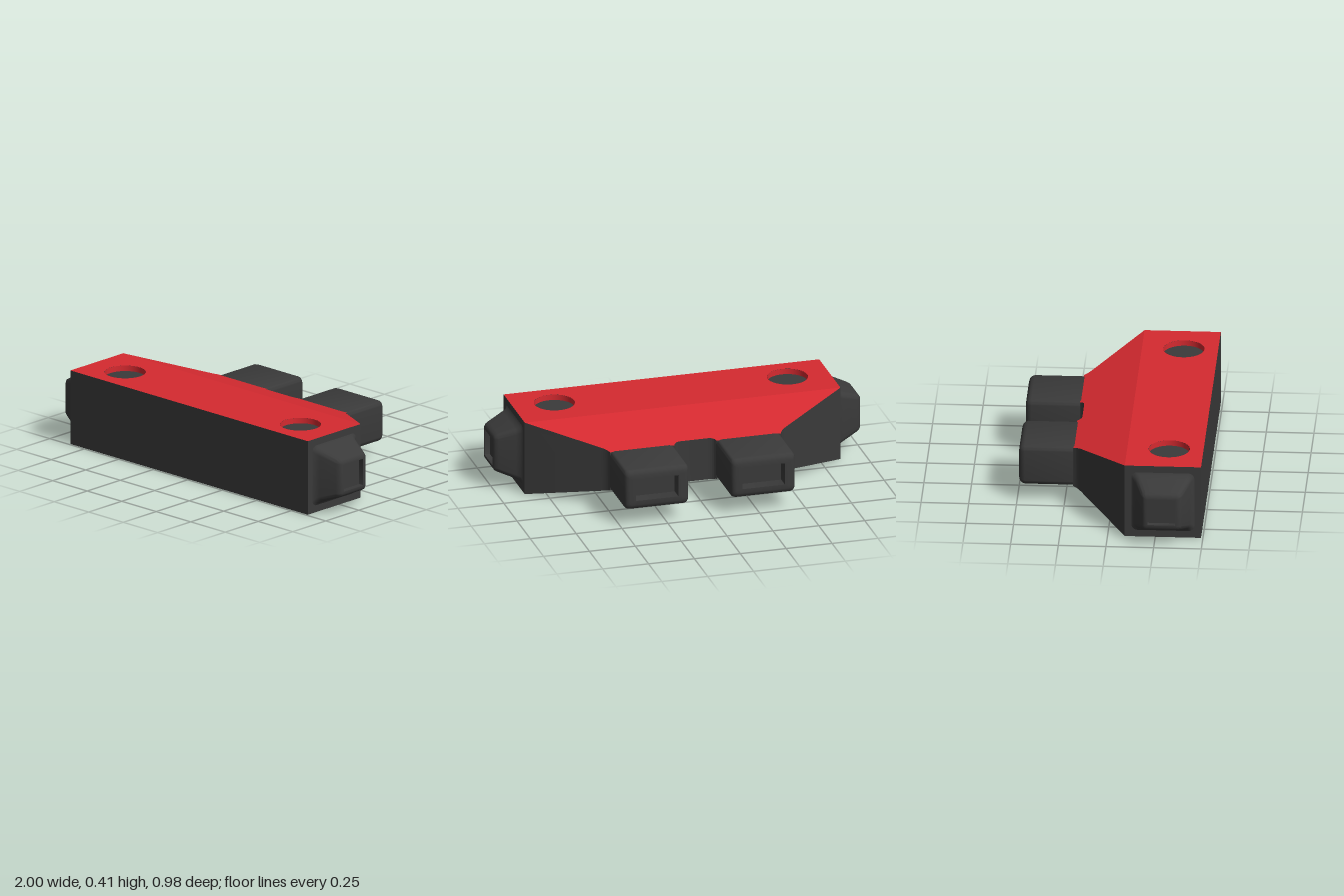
import * as THREE from 'three';
import { toCreasedNormals } from 'three/addons/utils/BufferGeometryUtils.js';

const black = new THREE.MeshStandardMaterial({ color: 0x3a3a3a });
const red = new THREE.MeshStandardMaterial({ color: 0xd62a30 });
const redInside = new THREE.MeshStandardMaterial({ color: 0xd62a30, side: THREE.DoubleSide });

const MID = 0.2025, HALF = 0.2025, PLATE = 0.375;
const HOLE_X = 0.635, HOLE_Z = 0.31, HOLE_R = 0.107;

function add(parent, name, geometry, material) {
  const mesh = new THREE.Mesh(geometry, material);
  mesh.name = name;
  parent.add(mesh);
  return mesh;
}

// Horizontal slab from a plan outline (shape y = -z), thinned towards the back
function slab(shape, y0, y1) {
  const g = new THREE.ExtrudeGeometry(shape, { depth: y1 - y0, bevelEnabled: false, curveSegments: 32 });
  g.rotateX(-Math.PI / 2).translate(0, y0, 0);
  const p = g.attributes.position;
  for (let i = 0; i < p.count; i++) {
    const t = Math.max(0, (0.09 - p.getZ(i)) / 0.29);
    const half = HALF - t * (HALF - 0.11);
    p.setY(i, MID + (p.getY(i) - MID) * half / HALF);
  }
  return toCreasedNormals(g, 0.6);
}

// Loft of rounded rectangles along +z; each ring is [halfWidth, halfHeight, radius, z]
function loft(rings) {
  const pos = [], index = [], seg = 5, n = 4 * (seg + 1);
  for (const [w, h, r, z] of rings) {
    for (let c = 0; c < 4; c++) {
      const sx = c === 0 || c === 3 ? 1 : -1, sy = c < 2 ? 1 : -1;
      for (let k = 0; k <= seg; k++) {
        const a = (c + k / seg) * Math.PI / 2;
        pos.push(sx * (w - r) + r * Math.cos(a), sy * (h - r) + r * Math.sin(a), z);
      }
    }
  }
  for (let i = 0; i < rings.length - 1; i++) {
    for (let j = 0; j < n; j++) {
      const a = i * n + j, b = i * n + (j + 1) % n;
      index.push(a, b, b + n, a, b + n, a + n);
    }
  }
  const last = (rings.length - 1) * n;
  pos.push(0, 0, rings[rings.length - 1][3]);
  for (let j = 0; j < n; j++) index.push(rings.length * n, last + j, last + (j + 1) % n);
  const g = new THREE.BufferGeometry();
  g.setAttribute('position', new THREE.Float32BufferAttribute(pos, 3));
  g.setIndex(index);
  return toCreasedNormals(g, 0.7);
}

function frontOutline() {
  const s = new THREE.Shape();
  s.moveTo(-0.86, -0.49);
  s.lineTo(0.86, -0.49);
  s.lineTo(0.86, -0.09);
  s.lineTo(-0.86, -0.09);
  s.closePath();
  return s;
}

// Tapering rear with fillets running into the two sockets
function rearOutline() {
  const s = new THREE.Shape();
  s.moveTo(-0.86, -0.09);
  s.lineTo(0.86, -0.09);
  s.lineTo(0.52, 0.16);
  s.quadraticCurveTo(0.49, 0.18, 0.48, 0.205);
  s.lineTo(0.13, 0.205);
  s.quadraticCurveTo(0.12, 0.18, 0.09, 0.18);
  s.lineTo(-0.06, 0.18);
  s.quadraticCurveTo(-0.09, 0.18, -0.1, 0.205);
  s.lineTo(-0.45, 0.205);
  s.quadraticCurveTo(-0.46, 0.18, -0.49, 0.16);
  s.closePath();
  return s;
}

export function createModel() {
  const model = new THREE.Group();
  model.name = 'connectorBlock';

  // Dark body
  add(model, 'frontBody', slab(frontOutline(), 0, PLATE), black);
  add(model, 'rearBody', slab(rearOutline(), 0, PLATE), black);

  // Red top with dark rim and two round openings
  const top = frontOutline();
  for (const s of [-1, 1]) {
    const hole = new THREE.Path();
    hole.absarc(s * HOLE_X, -HOLE_Z, HOLE_R + 0.001, 0, Math.PI * 2, true);
    top.holes.push(hole);
  }
  add(model, 'frontTop', slab(top, PLATE, 0.405), [red, black]);
  add(model, 'rearTop', slab(rearOutline(), PLATE, 0.405), [red, black]);
  for (const s of [-1, 1]) {
    const lining = new THREE.CylinderGeometry(HOLE_R, HOLE_R, 0.03, 64, 1, true);
    add(model, 'holeLining', lining, redInside).position.set(s * HOLE_X, 0.39, HOLE_Z);
  }

  // Flared side caps, each with a square recess
  const cap = loft([
    [0.165, 0.165, 0.03, -0.01], [0.165, 0.165, 0.03, 0], [0.152, 0.152, 0.03, 0.008],
    [0.142, 0.142, 0.03, 0.03], [0.108, 0.108, 0.025, 0.115], [0.1, 0.1, 0.02, 0.13],
    [0.087, 0.087, 0.012, 0.14], [0.073, 0.073, 0.002, 0.14], [0.073, 0.073, 0.002, 0.11],
  ]);
  for (const s of [-1, 1]) {
    const mesh = add(model, 'sideCap', cap, black);
    mesh.position.set(s * 0.86, MID, 0.29);
    mesh.rotation.y = s * Math.PI / 2;
  }

  // Rear sockets with rounded ends and rectangular openings
  const socket = loft([
    [0.175, 0.11, 0.025, 0], [0.175, 0.11, 0.025, 0.28], [0.171, 0.106, 0.025, 0.295],
    [0.162, 0.097, 0.022, 0.305], [0.148, 0.083, 0.015, 0.31],
    [0.115, 0.06, 0.002, 0.31], [0.115, 0.06, 0.002, 0.24],
  ]);
  for (const x of [-0.275, 0.305]) {
    const mesh = add(model, 'rearSocket', socket, black);
    mesh.position.set(x, MID, -0.18);
    mesh.rotation.y = Math.PI;
  }
  return model;
}
